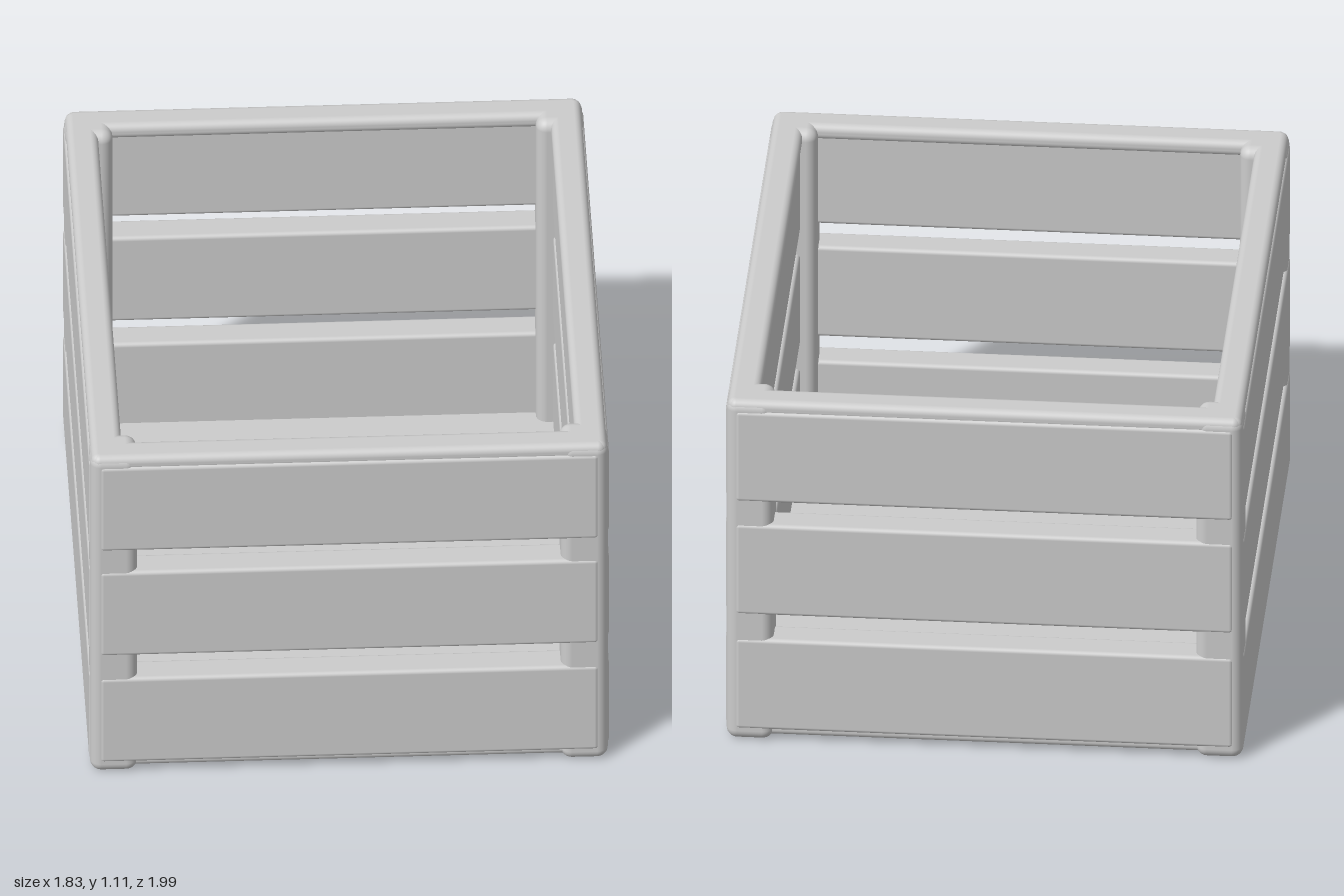
import * as THREE from 'three';
import { RoundedBoxGeometry } from 'three/addons/geometries/RoundedBoxGeometry.js';

export function createModel() {
  const model = new THREE.Group();
  model.name = 'crate';
  const grey = new THREE.MeshStandardMaterial({ color: 0xcccccc });
  grey.name = 'pale grey';

  // Half width, half depth and height of the crate before it is turned
  const W = 0.742, D = 0.852, H = 1.11;
  const post = 0.135, board = 0.09, inset = 0.03;

  function block(name, w, h, d, x, y, z, radius) {
    const mesh = new THREE.Mesh(new RoundedBoxGeometry(w, h, d, 4, radius), grey);
    mesh.name = name;
    mesh.position.set(x, y, z);
    model.add(mesh);
  }

  // Corner posts, whose ends form the feet
  for (const sx of [-1, 1]) {
    for (const sz of [-1, 1]) {
      block('cornerPost', post, H, post,
        sx * (W - 0.003 - post / 2), H / 2, sz * (D - 0.003 - post / 2), 0.032);
    }
  }

  // Three slats on each of the four sides
  for (const y of [0.1875, 0.5625, 0.932]) {
    for (const s of [-1, 1]) {
      block('endSlat', 2 * (W - inset), 0.295, board, 0, y, s * (D - board / 2), 0.012);
      block('sideSlat', board, 0.295, 2 * (D - inset), s * (W - board / 2), y, 0, 0.012);
    }
  }

  // Rounded rails around the top rim
  const rail = 0.09, railY = H - 0.025;
  for (const s of [-1, 1]) {
    block('endRail', 2 * W - 0.02, 0.05, rail, 0, railY, s * (D - 0.006 - rail / 2), 0.022);
    block('sideRail', rail, 0.05, 2 * D - 0.02, s * (W - 0.006 - rail / 2), railY, 0, 0.022);
  }

  // Floor panel, just clear of the ground
  block('floor', 2 * W - 0.04, 0.045, 2 * D - 0.04, 0, 0.034, 0, 0.018);

  model.rotation.y = THREE.MathUtils.degToRad(14.05);
  const root = new THREE.Group();
  root.name = 'slattedCrate';
  root.add(model);
  return root;
}
